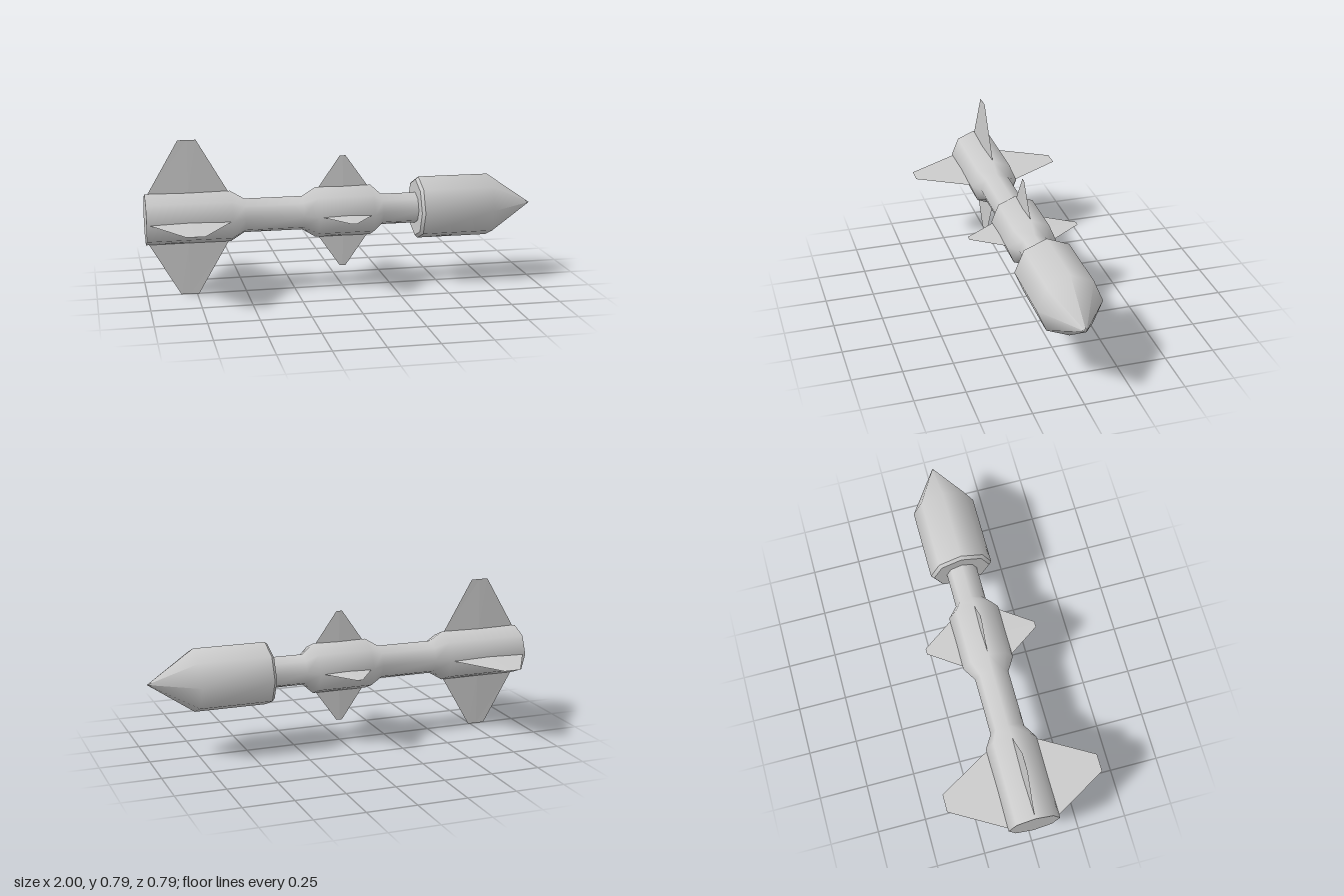
import * as THREE from 'three';

const AXIS_Y = 0.395;
const material = new THREE.MeshStandardMaterial({ color: 0xcccccc });
const finMaterial = new THREE.MeshStandardMaterial({ color: 0xcccccc, flatShading: true });

// Eight-sided surface turned about the x axis; profile is [x, radius] from tail to nose
function turned(name, profile) {
  const geometry = new THREE.LatheGeometry(profile.map(([x, r]) => new THREE.Vector2(r, x)), 8);
  geometry.rotateZ(-Math.PI / 2);
  const mesh = new THREE.Mesh(geometry, material);
  mesh.name = name;
  return mesh;
}

// Thin tapered fin with a diamond section, pointing up from the axis
function finGeometry(root, tip) {
  const ring = ({ x0, x1, r, t }) => {
    const mid = (x0 + x1) / 2;
    return [x0, r, 0, mid, r, t, x1, r, 0, mid, r, -t];
  };
  const index = [4, 5, 6, 4, 6, 7, 0, 2, 1, 0, 3, 2];
  for (let i = 0; i < 4; i++) {
    const j = (i + 1) % 4;
    index.push(i, j, j + 4, i, j + 4, i + 4);
  }
  const geometry = new THREE.BufferGeometry();
  geometry.setAttribute('position', new THREE.Float32BufferAttribute([...ring(root), ...ring(tip)], 3));
  geometry.setIndex(index);
  geometry.computeVertexNormals();
  return geometry;
}

// Four fins spaced evenly around the body
function finSet(name, root, tip) {
  const set = new THREE.Group();
  set.name = name;
  const geometry = finGeometry(root, tip);
  for (let i = 0; i < 4; i++) {
    const fin = new THREE.Mesh(geometry, finMaterial);
    fin.name = name.replace('Fins', 'Fin') + (i + 1);
    fin.rotation.x = i * Math.PI / 2;
    set.add(fin);
  }
  return set;
}

export function createModel() {
  const model = new THREE.Group();
  model.name = 'missile';
  const body = new THREE.Group();
  body.name = 'body';
  body.position.y = AXIS_Y;
  model.add(body);

  body.add(
    // Flat tail end and stepped fuselage
    turned('tailCap', [[-1, 0], [-1, 0.13]]),
    turned('fuselage', [
      [-1, 0.13], [-0.575, 0.13], [-0.505, 0.087], [-0.21, 0.087],
      [-0.14, 0.13], [0.145, 0.13], [0.2, 0.08], [0.39, 0.08],
    ]),
    // Warhead with flat back, small chamfer and pointed nose
    turned('warheadBack', [[0.383, 0], [0.383, 0.148]]),
    turned('warheadChamfer', [[0.383, 0.148], [0.398, 0.162]]),
    turned('warhead', [[0.398, 0.162], [0.765, 0.162], [1, 0]]),
    // Large tail fins and small middle fins
    finSet('tailFins',
      { x0: -0.99, x1: -0.58, r: 0.12, t: 0.005 },
      { x0: -0.83, x1: -0.74, r: 0.395, t: 0.0005 }),
    finSet('middleFins',
      { x0: -0.13, x1: 0.135, r: 0.12, t: 0.004 },
      { x0: -0.014, x1: 0.016, r: 0.288, t: 0.0005 }),
  );
  return model;
}
